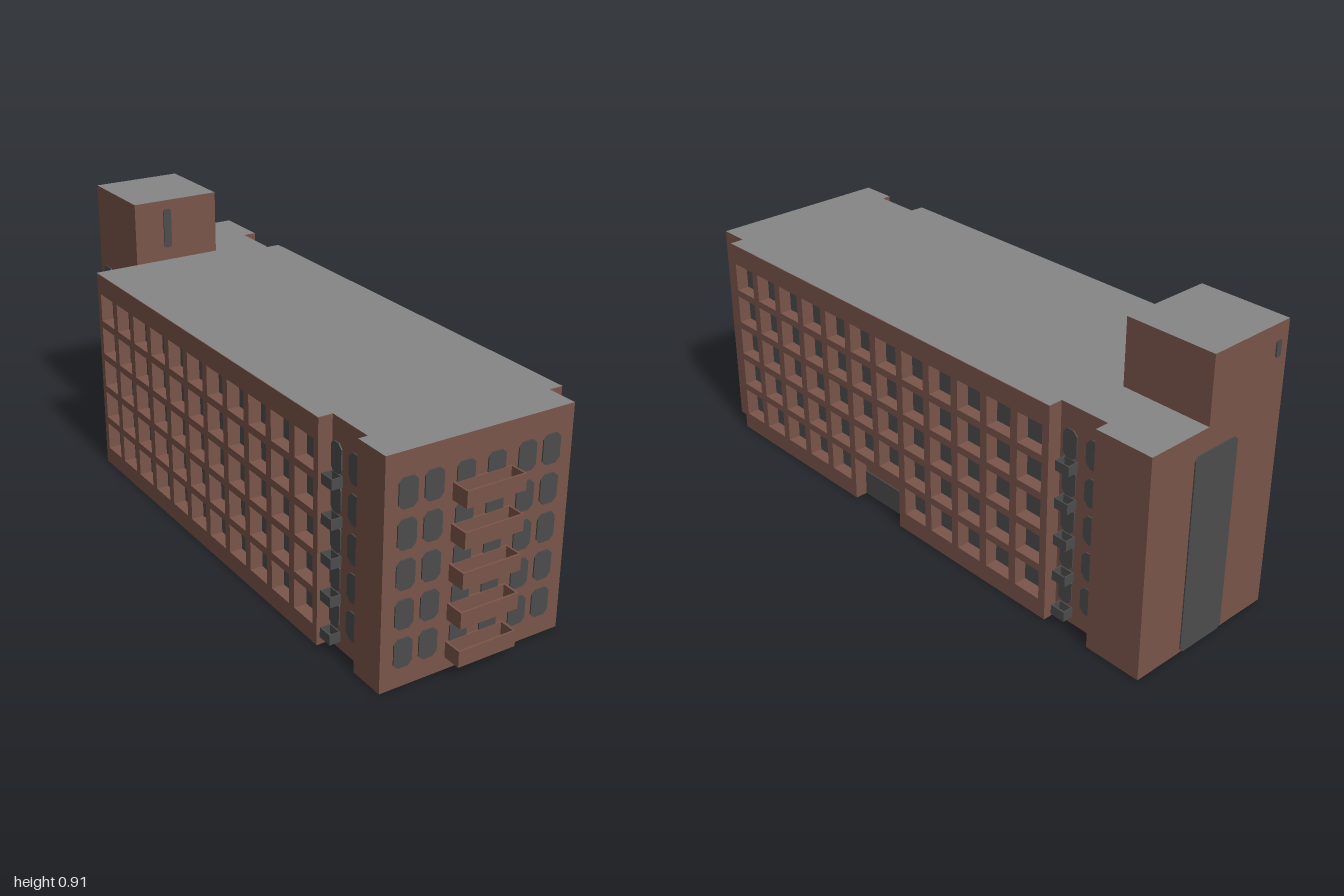
import * as THREE from 'three';

const mat = (name, color, side = THREE.FrontSide) => {
  const m = new THREE.MeshStandardMaterial({ color, side });
  m.name = name;
  return m;
};

export function createModel() {
  const brick = mat('brick', 0x7a5549, THREE.DoubleSide);
  const roofGrey = mat('roof grey', 0x868686, THREE.DoubleSide);
  const glass = mat('dark glass', 0x4c4c4c, THREE.DoubleSide);

  const model = new THREE.Group();
  model.name = 'building';
  const group = (name) => {
    const g = new THREE.Group();
    g.name = name;
    model.add(g);
    return g;
  };
  const add = (parent, name, geometry, material) => {
    const mesh = new THREE.Mesh(geometry, material);
    mesh.name = name;
    parent.add(mesh);
    return mesh;
  };

  // Thin vertical walls along a plan outline of [x, z] points
  const walls = (parent, name, pts, y0, y1) => pts.forEach(([x, z], i) => {
    const [x2, z2] = pts[(i + 1) % pts.length];
    const w = add(parent, name, new THREE.PlaneGeometry(Math.hypot(x2 - x, z2 - z), y1 - y0), brick);
    w.position.set((x + x2) / 2, (y0 + y1) / 2, (z + z2) / 2);
    w.rotation.y = Math.atan2(z - z2, x2 - x);
  });
  // Flat roof over a plan outline
  const roof = (parent, name, pts, y) => {
    const shape = new THREE.Shape(pts.map(([x, z]) => new THREE.Vector2(x, z)));
    const r = add(parent, name, new THREE.ShapeGeometry(shape), roofGrey);
    r.rotation.x = Math.PI / 2;
    r.position.y = y;
  };
  // Thin pane with cut corners, showing on both sides of its wall
  const pane = (parent, name, x, y, z, w, h, cut, alongZ) => {
    const a = w / 2, b = h / 2, c = cut;
    const pts = c > 0
      ? [[-a + c, -b], [a - c, -b], [a, -b + c], [a, b - c], [a - c, b], [-a + c, b], [-a, b - c], [-a, -b + c]]
      : [[-a, -b], [a, -b], [a, b], [-a, b]];
    const shape = new THREE.Shape(pts.map(([px, py]) => new THREE.Vector2(px, py)));
    const geo = new THREE.ExtrudeGeometry(shape, { depth: 0.008, bevelEnabled: false });
    geo.translate(0, 0, -0.004);
    const p = add(parent, name, geo, glass);
    p.position.set(x, y, z);
    if (alongZ) p.rotation.y = -Math.PI / 2;
  };

  const H = 0.7, FLOORS = 5, STEP = 0.119, CELL = 0.095, PITCH = 0.1225;
  const rowY = (r) => 0.107 + r * STEP;

  // Main shell, open underneath
  const shell = group('mainShell');
  walls(shell, 'outerWall', [
    [0.29, 0.94], [0.29, -0.81], [0.335, -0.81], [0.335, -1], [-0.19, -1],
    [-0.19, -0.705], [-0.295, -0.705], [-0.295, 0.82], [-0.325, 0.82], [-0.325, 0.94],
  ], 0, H);
  roof(shell, 'mainRoof', [
    [0.29, 0.94], [0.29, 0.84], [0.335, 0.84], [0.335, -0.645], [0.29, -0.645], [0.29, -0.81],
    [0.335, -0.81], [0.335, -1], [-0.19, -1], [-0.19, -0.705], [-0.34, -0.705], [-0.34, 0.66],
    [-0.295, 0.66], [-0.295, 0.82], [-0.325, 0.82], [-0.325, 0.94],
  ], H);

  // Stair tower
  const tower = group('stairTower');
  const plan = [[-0.19, -1], [0.115, -1], [0.115, -0.705], [-0.19, -0.705]];
  walls(tower, 'towerWall', plan, H, 0.91);
  roof(tower, 'towerRoof', plan, 0.91);
  pane(tower, 'towerFrontWindow', -0.071, 0.812, -0.705, 0.028, 0.135, 0.006);
  pane(tower, 'towerBackWindow', -0.15, 0.835, -1, 0.02, 0.05, 0.004);
  pane(tower, 'tallBackWindow', 0.078, 0.315, -1, 0.172, 0.63, 0.012);

  // Deep window grids on the long sides; the doorway interrupts the lowest row
  const grid = (name, outerX, glassX, z0, z1, firstZ, cols, door) => {
    const g = group(name);
    const pts = [[z0, 0]];
    if (door) pts.push([door[0], 0], [door[0], 0.15], [door[1], 0.15], [door[1], 0]);
    pts.push([z1, 0], [z1, H - 0.002], [z0, H - 0.002]);
    const shape = new THREE.Shape(pts.map(([u, v]) => new THREE.Vector2(u, v)));
    for (let r = 0; r < FLOORS; r++) for (let c = 0; c < cols; c++) {
      const z = firstZ + c * PITCH, y = rowY(r), s = CELL / 2;
      if (door && r === 0 && z > door[0] && z < door[1]) continue;
      shape.holes.push(new THREE.Path([[-s, -s], [-s, s], [s, s], [s, -s]]
        .map(([u, v]) => new THREE.Vector2(z + u, y + v))));
      pane(g, 'gridWindow', glassX, y, z, CELL, CELL, 0, true);
    }
    const frame = add(g, 'windowGrid', new THREE.ExtrudeGeometry(shape, { depth: 0.045, bevelEnabled: false }), brick);
    frame.rotation.y = -Math.PI / 2;
    frame.position.x = Math.max(outerX, glassX);
    return g;
  };
  const leftGrid = grid('leftFacade', 0.335, 0.29, -0.645, 0.84, -0.572, 12, [-0.005, 0.215]);
  pane(leftGrid, 'entranceDoor', 0.29, 0.0425, 0.105, 0.22, 0.085, 0, true);
  grid('rightFacade', -0.34, -0.295, -0.705, 0.66, -0.635, 11);

  // Open-topped balcony: floor, front and two ends
  const balcony = (parent, name, x, y, z, w, h, d, t, material) => {
    const b = new THREE.Group();
    b.name = name;
    b.position.set(x, y, z);
    parent.add(b);
    const part = (n, sx, sy, sz, px, py, pz) =>
      add(b, n, new THREE.BoxGeometry(sx, sy, sz), material).position.set(px, py, pz);
    part('floor', w, t, d, 0, t / 2, 0);
    for (const s of [-1, 1]) {
      part('longRail', w, h, t, 0, h / 2, s * (d - t) / 2);
      part('endRail', t, h, d, s * (w - t) / 2, h / 2, 0);
    }
  };

  // Front, recess and rear windows with balconies on every floor
  const front = group('frontFacade'), sides = group('recessWindows'), rear = group('rearWindows');
  for (let r = 0; r < FLOORS; r++) {
    const y = rowY(r);
    for (const x of [-0.253, -0.171, 0.134, 0.217]) pane(front, 'frontWindow', x, y, 0.94, 0.06, 0.09, 0.014);
    for (const x of [-0.07, 0.031]) pane(front, 'balconyDoor', x, y - 0.003, 0.94, 0.058, 0.09, 0.012);
    balcony(front, 'frontBalcony', -0.0125, 0.04 + r * 0.12, 0.97, 0.195, 0.05, 0.06, 0.006, brick);

    for (const [x, s] of [[0.29, -1], [-0.295, 1]]) {
      pane(sides, 'recessWindow', x, y, s * 0.683, 0.05, 0.09, 0.014, true);
      pane(sides, 'recessWindow', x, y, s * 0.774, 0.064, 0.09, 0.016, true);
      balcony(sides, 'smallBalcony', x - s * 0.018, 0.025 + r * 0.12, s * 0.687, 0.036, 0.032, 0.05, 0.004, glass);
    }
    pane(rear, 'towerSideWindow', -0.19, y, -0.937, 0.07, 0.09, 0.014, true);
    pane(rear, 'towerSideWindow', -0.19, y, -0.8, 0.125, 0.09, 0.018, true);
    pane(rear, 'rearCornerWindow', -0.262, y, -0.707, 0.11, 0.09, 0.018);
  }
  return model;
}
